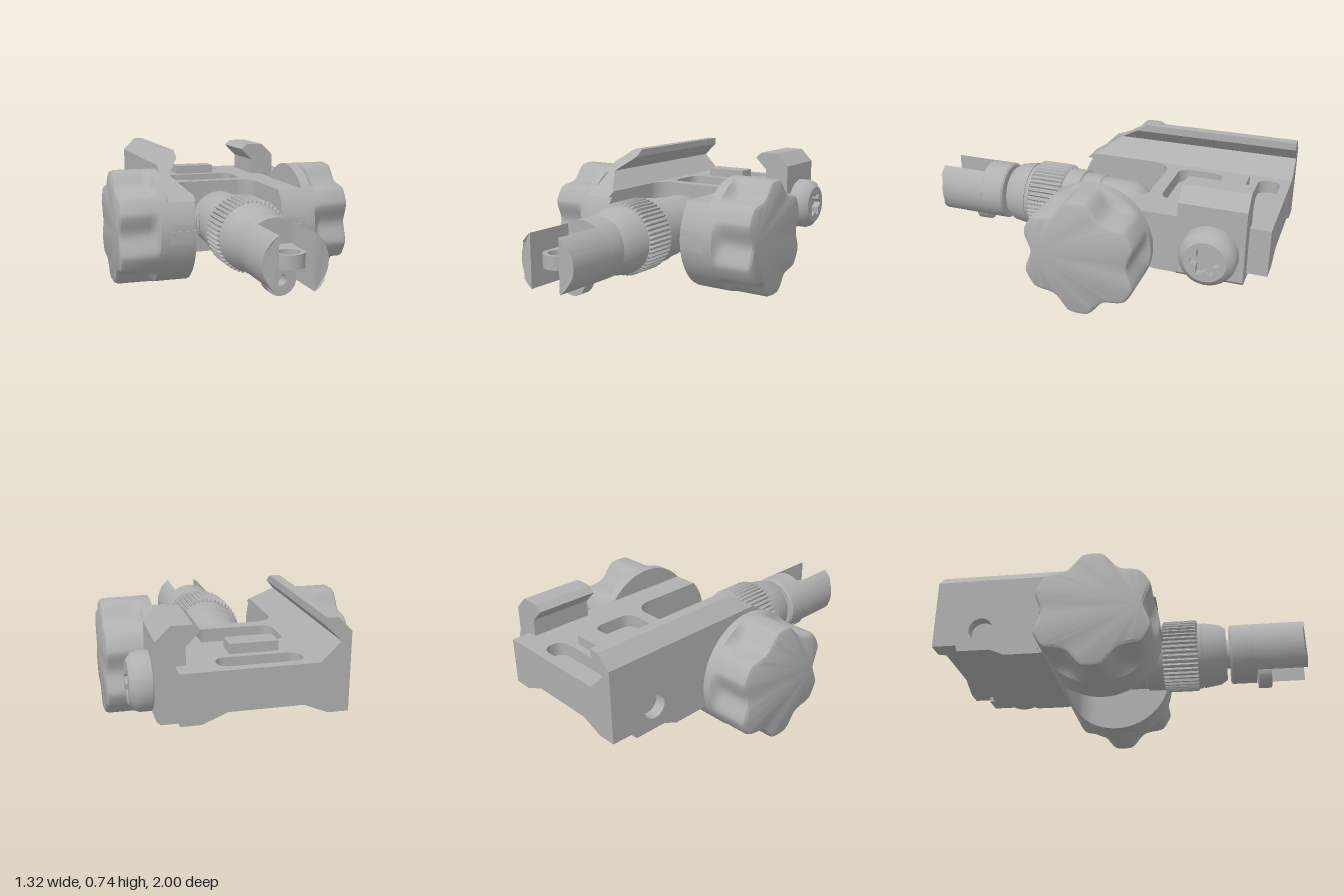
import * as THREE from 'three';
import { toCreasedNormals } from 'three/addons/utils/BufferGeometryUtils.js';

const metal = new THREE.MeshStandardMaterial({ color: 0xb0b0b0 });
metal.name = 'grey metal';
const AY = 0.325, AZ = -0.09, R = 0.32; // pivot axis height, depth and barrel radius

// Outward winding and creased normals for any closed geometry
function finish(geo, crease = 0.55) {
  const g = geo.index ? geo.toNonIndexed() : geo;
  const p = g.attributes.position, a = new THREE.Vector3(), b = a.clone(), c = a.clone();
  let volume = 0;
  for (let i = 0; i < p.count; i += 3) {
    a.fromBufferAttribute(p, i); b.fromBufferAttribute(p, i + 1); c.fromBufferAttribute(p, i + 2);
    volume += a.dot(b.cross(c));
  }
  const out = new THREE.BufferGeometry();
  const arr = Array.from(p.array);
  if (volume < 0) for (let i = 0; i < arr.length; i += 9)
    for (let k = 0; k < 3; k++) [arr[i + 3 + k], arr[i + 6 + k]] = [arr[i + 6 + k], arr[i + 3 + k]];
  out.setAttribute('position', new THREE.Float32BufferAttribute(arr, 3));
  return toCreasedNormals(out, crease);
}

// Skin over equal-length rings of [x, y, z], capped with fans
function loft(rings) {
  const n = rings[0].length, pos = rings.flat(2), idx = [];
  for (let r = 0; r < rings.length - 1; r++) for (let i = 0; i < n; i++) {
    const a = r * n + i, b = r * n + (i + 1) % n;
    idx.push(a, b, b + n, a, b + n, a + n);
  }
  const e = (rings.length - 1) * n;
  for (let i = 1; i < n - 1; i++) idx.push(0, i + 1, i, e, e + i, e + i + 1);
  const g = new THREE.BufferGeometry();
  g.setAttribute('position', new THREE.Float32BufferAttribute(pos, 3));
  g.setIndex(idx);
  return g;
}

const poly = pts => new THREE.Shape(pts.map(p => new THREE.Vector2(...p)));
const extrude = (shape, depth) =>
  new THREE.ExtrudeGeometry(shape, { depth, bevelEnabled: false, curveSegments: 12 });
const lathe = (pts, seg = 32) => new THREE.LatheGeometry(pts.map(p => new THREE.Vector2(...p)), seg);

function roundRect(x0, y0, x1, y1, r) {
  const p = new THREE.Path();
  p.absarc(x1 - r, y1 - r, r, 0, Math.PI / 2);
  p.absarc(x0 + r, y1 - r, r, Math.PI / 2, Math.PI);
  p.absarc(x0 + r, y0 + r, r, Math.PI, Math.PI * 1.5);
  p.absarc(x1 - r, y0 + r, r, Math.PI * 1.5, Math.PI * 2);
  return p;
}
function circleHole(x, y, r) {
  const p = new THREE.Path();
  p.absarc(x, y, r, 0, Math.PI * 2, true);
  return p;
}

// Underside height along z: stepped rear, then the round barrel
const under = [[-1, 0.28], [-0.87, 0.28], [-0.86, 0.245], [-0.68, 0.245], [-0.6, 0.21], [-0.39, 0.21]];
const arc = z => Math.sqrt(Math.max(0, R * R - (z - AZ) ** 2));
function bottomY(z) {
  if (z >= -0.39) return AY - arc(z);
  const i = under.findIndex(p => p[0] >= z), b = under[i], a = under[Math.max(0, i - 1)];
  return a === b ? a[1] : a[1] + (b[1] - a[1]) * (z - a[0]) / (b[0] - a[0]);
}

// One half of the body, with the rounded slot between its arms
function bodyHalf(s) {
  const zs = [...under.map(p => p[0]), -0.72, -0.7, -0.42, -0.419, -0.361, -0.36, -0.311];
  for (let i = 0; i <= 8; i++) zs.push(-0.31 + 0.1 * (1 - Math.cos(i * Math.PI / 16)));
  for (let i = 0; i < 18; i++) zs.push(AZ + 0.316 * Math.sin(-0.35 + i * (Math.PI / 2 + 0.35) / 17));
  zs.sort((a, b) => a - b);
  return loft(zs.map(z => {
    const t = Math.min(1, (z + 0.31) / 0.1);
    const xi = z < -0.31 + 1e-6 && z < -0.3105 ? 0 : 0.15 + 0.1 * Math.sqrt(Math.max(0, 1 - (1 - t) ** 2));
    const xo = s < 0 && z < -0.4195 ? 0.34 : 0.4;
    const top = z < -0.3605 ? 0.46 : z < AZ ? 0.53 : Math.min(0.53, AY + arc(z));
    const bot = bottomY(z), c = z < -0.71 ? 0.05 : 0;
    return [[xi, top], [xo, top], [xo, bot], [Math.max(xi, 0.3), bot],
      [Math.max(xi, 0.18), bot + c], [xi, bot + c]].map(([x, y]) => [s * x, y, z]);
  }));
}

// Grip knob along +x with six scallops
function knobGeometry() {
  const stations = [[0.39, R, 0], [0.445, R, 0], [0.455, R, 0.35], [0.475, R, 0.8], [0.5, R, 1],
    [0.635, R, 1], [0.652, R - 0.008, 1], [0.66, R - 0.024, 1]];
  return loft(stations.map(([x, r, d]) => Array.from({ length: 120 }, (_, i) => {
    const a = i * Math.PI / 60, step = Math.PI / 3;
    const off = Math.abs(a - Math.round(a / step) * step) / 0.38;
    const rad = r - (off < 1 ? 0.055 * d * Math.cos(off * Math.PI / 2) ** 1.3 : 0);
    return [x, rad * Math.sin(a), rad * Math.cos(a)];
  })));
}

export function createModel() {
  const model = new THREE.Group();
  const add = (name, geo, x = 0, y = 0, z = 0, crease) => {
    const m = new THREE.Mesh(finish(geo, crease), metal);
    m.name = name;
    m.position.set(x, y, z);
    model.add(m);
    return m;
  };

  // Body, top deck with pockets, and left wall with screw hole
  add('bodyLeft', bodyHalf(1));
  add('bodyRight', bodyHalf(-1));
  const deck = poly([[-0.4, 0.36], [0.4, 0.36], [0.4, 1], [-0.4, 1]]);
  deck.holes.push(roundRect(-0.205, 0.38, 0.21, 0.63, 0.06), roundRect(-0.205, 0.83, 0.21, 0.95, 0.055));
  add('topDeck', extrude(deck, 0.07).rotateX(-Math.PI / 2), 0, 0.46, 0);
  add('recoilLug', new THREE.BoxGeometry(0.24, 0.1, 0.11), 0, 0.53, -0.735);
  const wall = poly([[0.42, 0.47], [0.42, 0.21], [0.6, 0.21], [0.68, 0.245], [0.86, 0.245],
    [0.87, 0.28], [1, 0.28], [1, 0.47]]);
  wall.holes.push(circleHole(0.74, 0.37, 0.065));
  add('sideWall', extrude(wall, 0.06).rotateY(Math.PI / 2), -0.4, 0, 0);

  // Fixed rail hook, its front end cut on a slope
  const rail = extrude(poly([[-0.4, 0.5], [-0.25, 0.5], [-0.25, 0.525], [-0.35, 0.625], [-0.275, 0.7],
    [-0.275, 0.74], [-0.33, 0.74], [-0.4, 0.67]]), 1);
  const rp = rail.attributes.position;
  for (let i = 0; i < rp.count; i++)
    rp.setZ(i, rp.getZ(i) < 0.5 ? -1 : 0.165 - (rp.getY(i) - 0.53) * 1.5);
  add('fixedRail', rail);

  // Moving clamp jaw
  add('clampJaw', extrude(poly([[0.35, 0.25], [0.47, 0.25], [0.49, 0.27], [0.49, 0.65], [0.42, 0.72],
    [0.315, 0.72], [0.28, 0.69], [0.35, 0.62]]), 0.34), 0, 0, -0.895);

  // Clamp screw with a six-lobed socket
  add('screwHead', lathe([[0, 0.48], [0.13, 0.48], [0.145, 0.495], [0.145, 0.55], [0.135, 0.575],
    [0.105, 0.6], [0.085, 0.6], [0.085, 0.56], [0, 0.56]]).rotateZ(-Math.PI / 2), 0, 0.41, -0.725);
  const socket = new THREE.Shape().absarc(0, 0, 0.086, 0, Math.PI * 2);
  socket.holes.push(new THREE.Path(Array.from({ length: 48 }, (_, i) => {
    const a = i * Math.PI / 24, r = 0.062 + 0.014 * Math.cos(6 * a);
    return new THREE.Vector2(r * Math.cos(a), r * Math.sin(a));
  })));
  add('screwSocket', extrude(socket, 0.04).rotateY(Math.PI / 2), 0.56, 0.41, -0.725);

  // Knobs, threaded pivots and index marks on both sides
  const thread = [[0, 0.1], [0.06, 0.1]];
  for (let i = 0; i < 5; i++) thread.push([0.06, 0.125 + i * 0.016], [0.076, 0.133 + i * 0.016]);
  thread.push([0.062, 0.21], [0.062, 0.27], [0, 0.27]);
  for (const s of [1, -1]) {
    const side = s > 0 ? 'left' : 'right', turn = s > 0 ? 0 : Math.PI;
    add(side + 'Knob', knobGeometry(), 0, AY, AZ).rotation.z = turn;
    add(side + 'Pivot', lathe(thread, 24).rotateZ(-Math.PI / 2), 0, AY, AZ).rotation.z = turn;
    add(side + 'IndexMark', new THREE.BoxGeometry(0.15, 0.035, 0.008), s * 0.325, AY, 0.227);
  }

  // Sight stem: dome, collars, taper and neck, turned about z
  const stem = [];
  for (let i = 0; i <= 8; i++) {
    const a = i * Math.PI / 16;
    stem.push([0.163 * Math.sin(a), -0.13 - 0.163 * Math.cos(a)]);
  }
  stem.push([0.163, 0.01], [0.172, 0.02], [0.172, 0.12], [0.184, 0.13], [0.184, 0.43], [0.178, 0.44],
    [0.162, 0.455], [0.162, 0.54], [0.14, 0.57], [0.08, 0.57], [0.08, 0.6], [0, 0.6]);
  stem.splice(-6, 6, [0.184, 0.44], [0.168, 0.535], [0.145, 0.57], [0.08, 0.57], [0.08, 0.6], [0, 0.6]);
  add('sightStem', lathe(stem).rotateX(Math.PI / 2), 0, AY + 0.003, 0);

  // Knurled adjusting ring
  add('knurledRing', loft([[0.22, 0.188], [0.23, 0.2], [0.405, 0.2], [0.415, 0.188]].map(([z, r]) =>
    Array.from({ length: 192 }, (_, i) => {
      const a = i * Math.PI / 96, rad = r - (i % 4 < 2 ? 0 : 0.012);
      return [rad * Math.cos(a), rad * Math.sin(a), z];
    }))), 0, AY + 0.005, 0);

  // Fork holding the aperture
  add('forkBase', lathe([[0, 0.59], [0.155, 0.59], [0.165, 0.6], [0.165, 0.73], [0, 0.73]])
    .rotateX(Math.PI / 2), 0, AY, 0);
  const half = Math.acos(0.09 / 0.165);
  for (const s of [1, -1]) {
    const mid = s > 0 ? 0 : Math.PI;
    const prong = new THREE.Shape().absarc(0, 0, 0.165, mid - half, mid + half);
    const g = extrude(prong, 0.28), p = g.attributes.position;
    // chamfer the outer front edge
    for (let i = 0; i < p.count; i++)
      if (p.getZ(i) > 0.2 && Math.abs(p.getX(i)) > 0.14) p.setZ(i, 0.265);
    add(s > 0 ? 'leftProng' : 'rightProng', g, 0, AY, 0.72);
  }

  // Flip aperture: one lying plate and one hanging plate, each with a hole
  const plate = (len, r, hole, centre) => {
    const sh = new THREE.Shape();
    sh.moveTo(-r, 0);
    sh.lineTo(-r, -(len - r));
    sh.absarc(0, -(len - r), r, Math.PI, Math.PI * 2);
    sh.lineTo(r, 0);
    sh.closePath();
    sh.holes.push(circleHole(0, -centre, hole));
    return sh;
  };
  add('lyingAperture', extrude(plate(0.24, 0.08, 0.055, 0.163), 0.07).rotateX(-Math.PI / 2), 0, 0.29, 0.738);
  add('hangingAperture', extrude(plate(0.24, 0.08, 0.03, 0.16), 0.07), 0, 0.36, 0.738);
  add('aperturePin', new THREE.CylinderGeometry(0.03, 0.03, 0.2, 16).rotateZ(Math.PI / 2), 0, 0.325, 0.775);

  return model;
}
